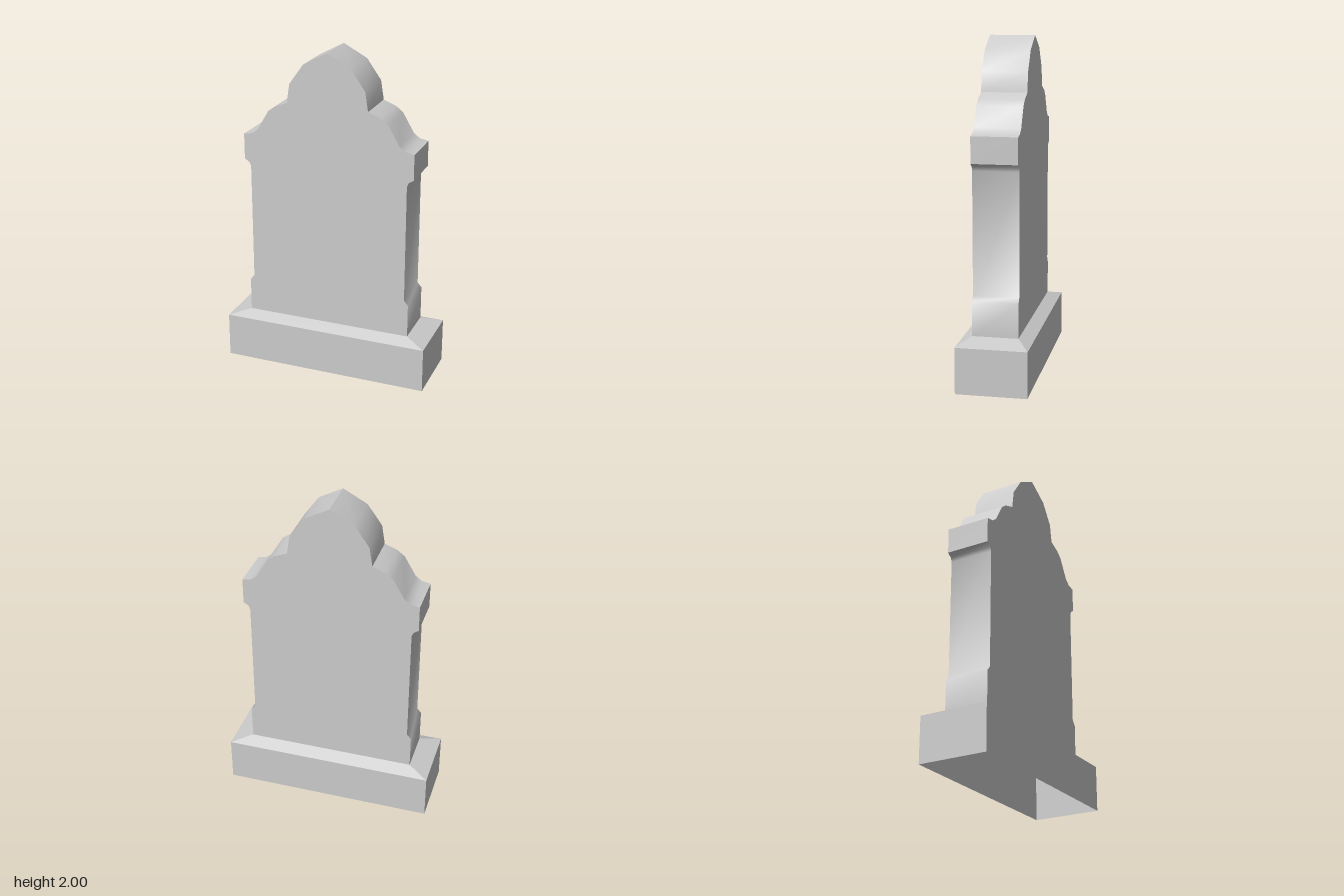
import * as THREE from 'three';
import { toCreasedNormals } from 'three/addons/utils/BufferGeometryUtils.js';

const DEPTH = 0.135; // half thickness of the slab

// Right half of the slab outline, from its foot to the peak
const HALF = [
  [0.515, 0.31], [0.515, 0.515], [0.49, 0.545], [0.49, 1.265], [0.5, 1.29], [0.53, 1.31],
  [0.53, 1.465], [0.477, 1.475], [0.44, 1.503], [0.37, 1.622], [0.327, 1.655],
  [0.25, 1.685], [0.232, 1.8], [0.145, 1.922], [0, 2],
];

// Non-indexed geometry from quads, corners counter-clockwise seen from outside
function quadGeometry(quads, crease) {
  const positions = quads.flatMap(([a, b, c, d]) => [a, b, c, a, c, d].flat());
  const geometry = new THREE.BufferGeometry();
  geometry.setAttribute('position', new THREE.Float32BufferAttribute(positions, 3));
  return toCreasedNormals(geometry, crease);
}

// Rectangular ring of corners, counter-clockwise seen from above
const ring = (x, y, z) => [[x, y, z], [x, y, -z], [-x, y, -z], [-x, y, z]];

// Walls between two rings
const walls = (low, high) => low.map((p, i) => {
  const j = (i + 1) % low.length;
  return [p, low[j], high[j], high[i]];
});

export function createModel() {
  const model = new THREE.Group();
  const material = new THREE.MeshStandardMaterial({ color: 0xcccccc, side: THREE.DoubleSide });
  const add = (name, geometry, parent = model) => {
    const mesh = new THREE.Mesh(geometry, material);
    mesh.name = name;
    parent.add(mesh);
    return mesh;
  };

  // Plinth, hollow and open underneath, with a sloped top edge
  const foot = ring(0.64, 0, 0.21);
  const rim = ring(0.64, 0.275, 0.21);
  const top = ring(0.515, 0.31, DEPTH);
  const plinth = new THREE.Group();
  plinth.name = 'plinth';
  model.add(plinth);
  add('plinthWalls', quadGeometry(walls(foot, rim), 0.2), plinth);
  add('plinthSlope', quadGeometry(walls(rim, top), 0.2), plinth);

  // Slab: mirrored outline with a front, a back and a rounded edge band
  const outline = [...HALF, ...HALF.slice(0, -1).reverse().map(([x, y]) => [-x, y])];
  const slab = new THREE.Group();
  slab.name = 'slab';
  model.add(slab);

  const shape = new THREE.Shape(outline.map(([x, y]) => new THREE.Vector2(x, y)));
  const face = new THREE.ShapeGeometry(shape);
  add('slabFront', face, slab).position.z = DEPTH;
  const back = add('slabBack', face, slab); // symmetric, so a half turn fits
  back.position.z = -DEPTH;
  back.rotation.y = Math.PI;

  const band = outline.slice(1).map(([bx, by], i) => {
    const [ax, ay] = outline[i];
    return [[ax, ay, DEPTH], [ax, ay, -DEPTH], [bx, by, -DEPTH], [bx, by, DEPTH]];
  });
  add('slabEdge', quadGeometry(band, Math.PI / 4), slab);

  return model;
}
